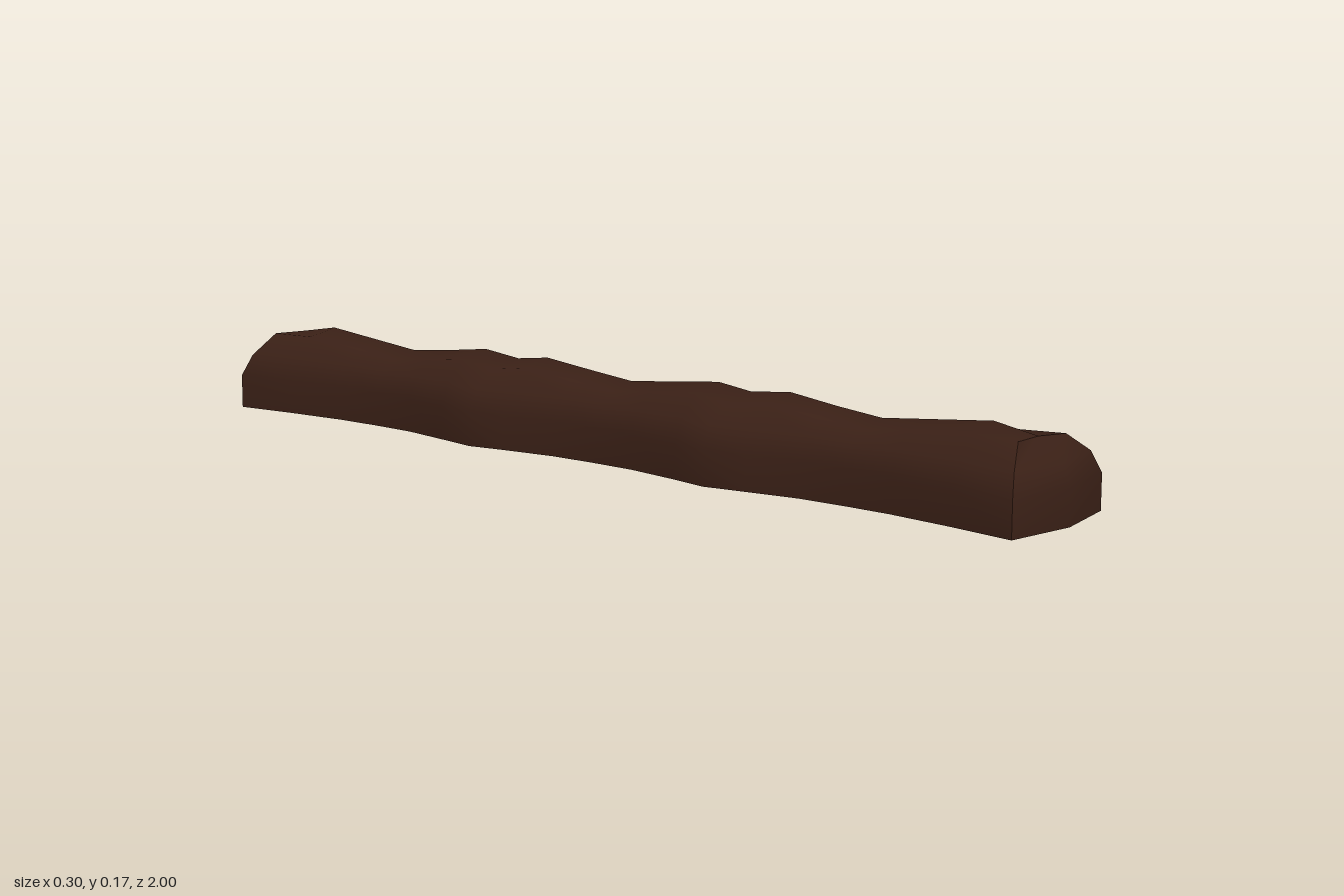
import * as THREE from 'three';

const bark = new THREE.MeshStandardMaterial({ color: 0x3a2016, side: THREE.DoubleSide });

// Smooth surface through rows of [x, y, z] points, all rows of equal length
function loft(name, rows) {
  const n = rows[0].length, index = [];
  for (let r = 0; r < rows.length - 1; r++) {
    for (let i = 0; i < n - 1; i++) {
      const a = r * n + i, b = a + n;
      index.push(a, b, a + 1, a + 1, b, b + 1);
    }
  }
  const geometry = new THREE.BufferGeometry();
  geometry.setAttribute('position', new THREE.Float32BufferAttribute(rows.flat(2), 3));
  geometry.setIndex(index);
  geometry.computeVertexNormals();
  const mesh = new THREE.Mesh(geometry, bark);
  mesh.name = name;
  return mesh;
}

// Arched, open-bottomed cross-section: half width w, crest height h
function section(z, w, h) {
  const s = w / 0.15;
  return [
    [-w, 0, z], [-w, 0.07, z], [-0.128 * s, 0.113, z], [-0.08 * s, h - 0.012, z],
    [0, h, z],
    [0.08 * s, h - 0.025, z], [0.128 * s, 0.113, z], [w, 0.07, z], [w, 0, z],
  ];
}

// Rounded-over rim where the body meets an end cap; dir is +1 front, -1 back
function rim(dir) {
  const depth = [0.975, 0.975, 0.963, 0.94, 0.932, 0.94, 0.963, 0.975, 0.975];
  const points = section(0, 0.15, 0.169).map(([x, y], i) => [x, y, dir * depth[i]]);
  points[4][1] = 0.154;
  points[5][1] = 0.148;
  return points;
}

export function createModel() {
  const group = new THREE.Group();
  group.name = 'log';

  // Half of the wavy profile, from the middle outwards: z, half width, crest height
  const half = [
    [0, 0.115, 0.147], [0.1, 0.117, 0.157], [0.22, 0.134, 0.17], [0.3, 0.149, 0.16],
    [0.39, 0.134, 0.17], [0.5, 0.117, 0.156], [0.6, 0.115, 0.146],
    [0.7, 0.117, 0.156], [0.84, 0.131, 0.17],
  ];
  const stations = [...half.slice(1).reverse().map(([z, w, h]) => [-z, w, h]), ...half];
  group.add(loft('logBody', [rim(-1), ...stations.map((s) => section(...s)), rim(1)]));

  // End caps: slightly pointed in plan and rolled over towards the top
  for (const dir of [1, -1]) {
    const r = rim(dir);
    const middle = [[0, 0, dir], [0, 0.07, dir], [0, 0.113, dir * 0.985], r[4]];
    const rows = middle.map((m, i) => [r[i], m, r[8 - i]]);
    if (dir > 0) rows.reverse();
    group.add(loft(dir > 0 ? 'frontEnd' : 'backEnd', rows));
  }
  return group;
}
